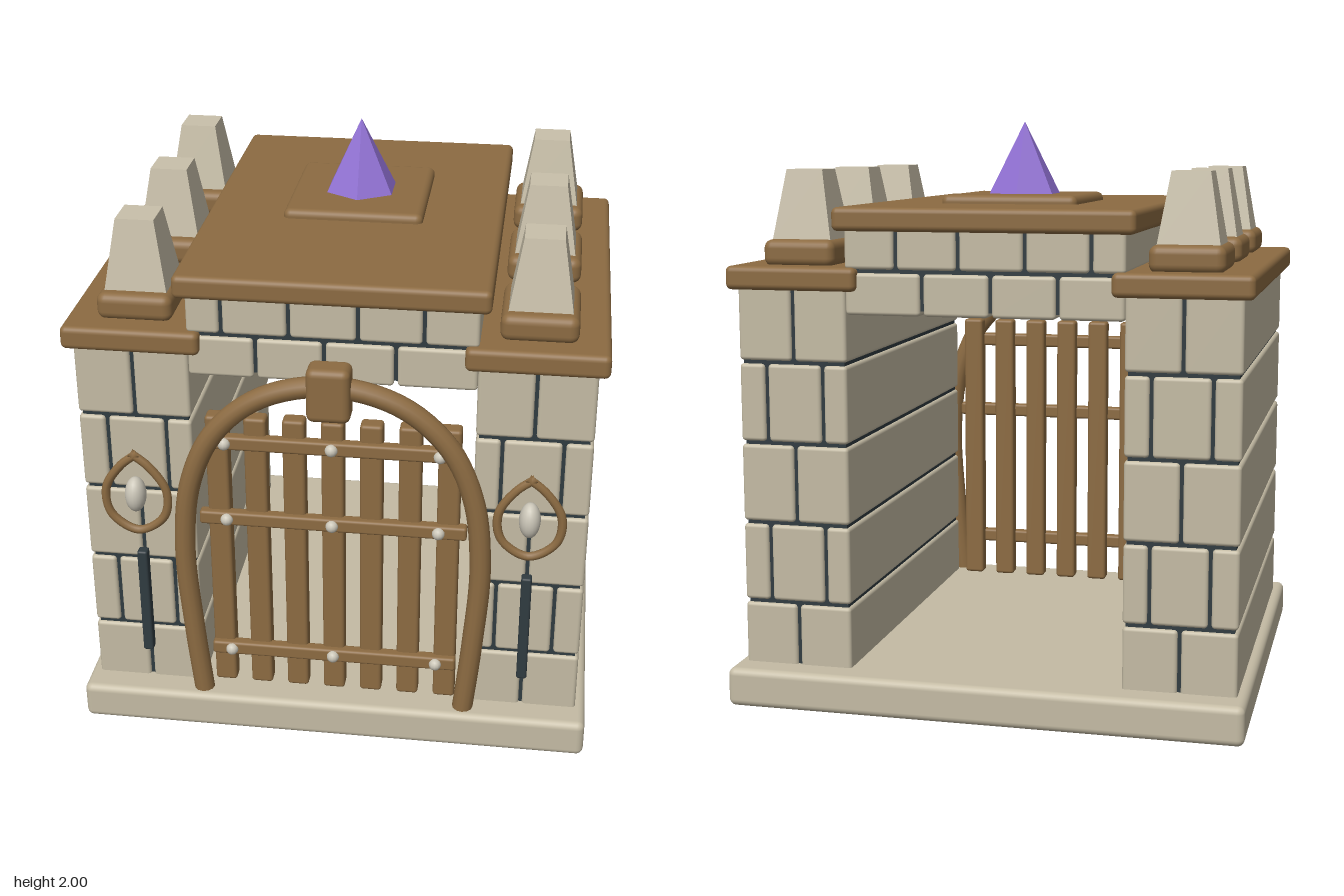
import * as THREE from 'three';
import { RoundedBoxGeometry } from 'three/addons/geometries/RoundedBoxGeometry.js';

const material = (name, color, flatShading = false) => {
  const m = new THREE.MeshStandardMaterial({ color, flatShading });
  m.name = name;
  return m;
};

export function createModel() {
  const model = new THREE.Group();
  model.name = 'castleGate';
  const stone = material('stone', 0xc4bba4);
  const facetedStone = material('faceted stone', 0xc9c0aa, true);
  const wood = material('wood', 0x8c6b42);
  const mortar = material('dark slate', 0x303b40);
  const crystal = material('purple crystal', 0x9070d2, true);
  const metal = material('pale metal', 0xcbc6b8);

  const add = (name, geometry, mat, x = 0, y = 0, z = 0, parent = model) => {
    const mesh = new THREE.Mesh(geometry, mat);
    mesh.name = name;
    mesh.position.set(x, y, z);
    parent.add(mesh);
    return mesh;
  };
  // Rounded box given by its minimum and maximum corners
  const block = (name, mat, [x0, y0, z0], [x1, y1, z1], r, parent) =>
    add(name, new RoundedBoxGeometry(x1 - x0, y1 - y0, z1 - z0, 3, r), mat,
      (x0 + x1) / 2, (y0 + y1) / 2, (z0 + z1) / 2, parent);

  // One course of stones, split at the given x joints
  const course = (name, y0, y1, edges, parent) => {
    const gap = 0.006;
    for (let i = 0; i + 1 < edges.length; i++) {
      block(name, stone, [edges[i] + (i ? gap : 0), y0 + gap, -0.69],
        [edges[i + 1] - (i + 2 < edges.length ? gap : 0), y1 - gap, 0.69], 0.013, parent);
    }
  };

  block('base', stone, [-0.89, 0, -0.79], [0.89, 0.135, 0.79], 0.025);

  // Side walls with caps, battlements, rings and rods
  for (const s of [-1, 1]) {
    const side = new THREE.Group();
    side.name = s > 0 ? 'leftSide' : 'rightSide';
    model.add(side);
    const core = new THREE.BoxGeometry(0.36, 1.35, 1.356);
    add('wallCore', core, mortar, s * 0.6625, 0.785, 0, side);
    const levels = [0.08, 0.353, 0.632, 0.911, 1.19, 1.465];
    for (let i = 0; i < 5; i++) {
      const edges = i % 2 ? [0.472, 0.56, 0.76, 0.855] : [0.472, 0.662, 0.855];
      const xs = s > 0 ? edges : edges.map((e) => -e).reverse();
      course('wallStone', levels[i], levels[i + 1], xs, side);
    }
    const cx = s * 0.66;
    block('wallCap', wood, [cx - 0.23, 1.437, -0.718], [cx + 0.23, 1.517, 0.718], 0.02, side);

    for (const z of [-0.486, 0, 0.486]) {
      block('battlementFoot', wood, [cx - 0.126, 1.51, z - 0.148],
        [cx + 0.126, 1.602, z + 0.148], 0.03, side);
      const taper = new THREE.CylinderGeometry(0.064 * Math.SQRT2, 0.104 * Math.SQRT2, 0.24, 4);
      taper.rotateY(Math.PI / 4);
      add('battlement', taper, facetedStone, cx, 1.717, z, side);
    }

    // Pointed ring around a pale boss
    const ring = new THREE.CatmullRomCurve3([
      [0.014, 1.078], [-0.05, 1.025], [-0.104, 0.935], [-0.09, 0.835], [0, 0.778],
      [0.09, 0.835], [0.104, 0.935], [0.05, 1.025], [-0.014, 1.078],
    ].map(([x, y]) => new THREE.Vector3(x, y, 0)));
    add('wallRing', new THREE.TubeGeometry(ring, 64, 0.015, 8), wood, s * 0.662, 0, 0.735, side);
    const boss = add('ringBoss', new THREE.SphereGeometry(1, 20, 14), metal, s * 0.662, 0.925, 0.745, side);
    boss.scale.set(0.036, 0.064, 0.044);
    block('wallRod', mortar, [s * 0.662 - 0.018, 0.265, 0.685],
      [s * 0.662 + 0.018, 0.678, 0.724], 0.008, side);
  }

  // Bridging roof, its cap and the crystal
  const roof = new THREE.Group();
  roof.name = 'roof';
  model.add(roof);
  add('roofCore', new THREE.BoxGeometry(0.92, 0.27, 1.356), mortar, 0, 1.51, 0, roof);
  course('roofStone', 1.352, 1.505, [-0.472, -0.25, -0.025, 0.208, 0.472], roof);
  course('roofStone', 1.505, 1.66, [-0.474, -0.36, -0.14, 0.085, 0.298, 0.474], roof);
  block('roofCap', wood, [-0.51, 1.638, -0.72], [0.51, 1.717, 0.72], 0.02, roof);
  block('crystalPlate', wood, [-0.24, 1.69, -0.342], [0.24, 1.747, 0.172], 0.024, roof);
  add('crystal', new THREE.ConeGeometry(0.135, 0.26, 6), crystal, 0, 1.87, -0.085, roof);

  // Arched frame and keystone
  const gate = new THREE.Group();
  gate.name = 'gate';
  model.add(gate);
  const half = [[0.46, 0.12], [0.487, 0.4], [0.505, 0.72], [0.474, 0.98],
    [0.385, 1.175], [0.225, 1.312]];
  const arch = new THREE.CatmullRomCurve3([
    ...half.map(([x, y]) => [-x, y]), [0, 1.365], ...half.slice().reverse(),
  ].map(([x, y]) => new THREE.Vector3(x, y, 0.73)));
  add('archFrame', new THREE.TubeGeometry(arch, 80, 0.036, 12), wood, 0, 0, 0, gate);
  block('keystone', wood, [-0.072, 1.257, 0.69], [0.072, 1.447, 0.79], 0.025, gate);

  // Gate slats, crossbars and studs
  for (let i = -3; i <= 3; i++) {
    block('gateSlat', wood, [i * 0.13 - 0.038, 0.138, 0.63],
      [i * 0.13 + 0.038, 1.207, 0.69], 0.012, gate);
  }
  for (const [y, w] of [[1.12, 0.41], [0.827, 0.455], [0.29, 0.43]]) {
    block('gateCrossbar', wood, [-w, y - 0.025, 0.67], [w, y + 0.025, 0.712], 0.01, gate);
    for (const x of [-0.36, 0, 0.36]) {
      add('gateStud', new THREE.SphereGeometry(0.022, 12, 8), metal, x, y, 0.711, gate);
    }
  }
  return model;
}
